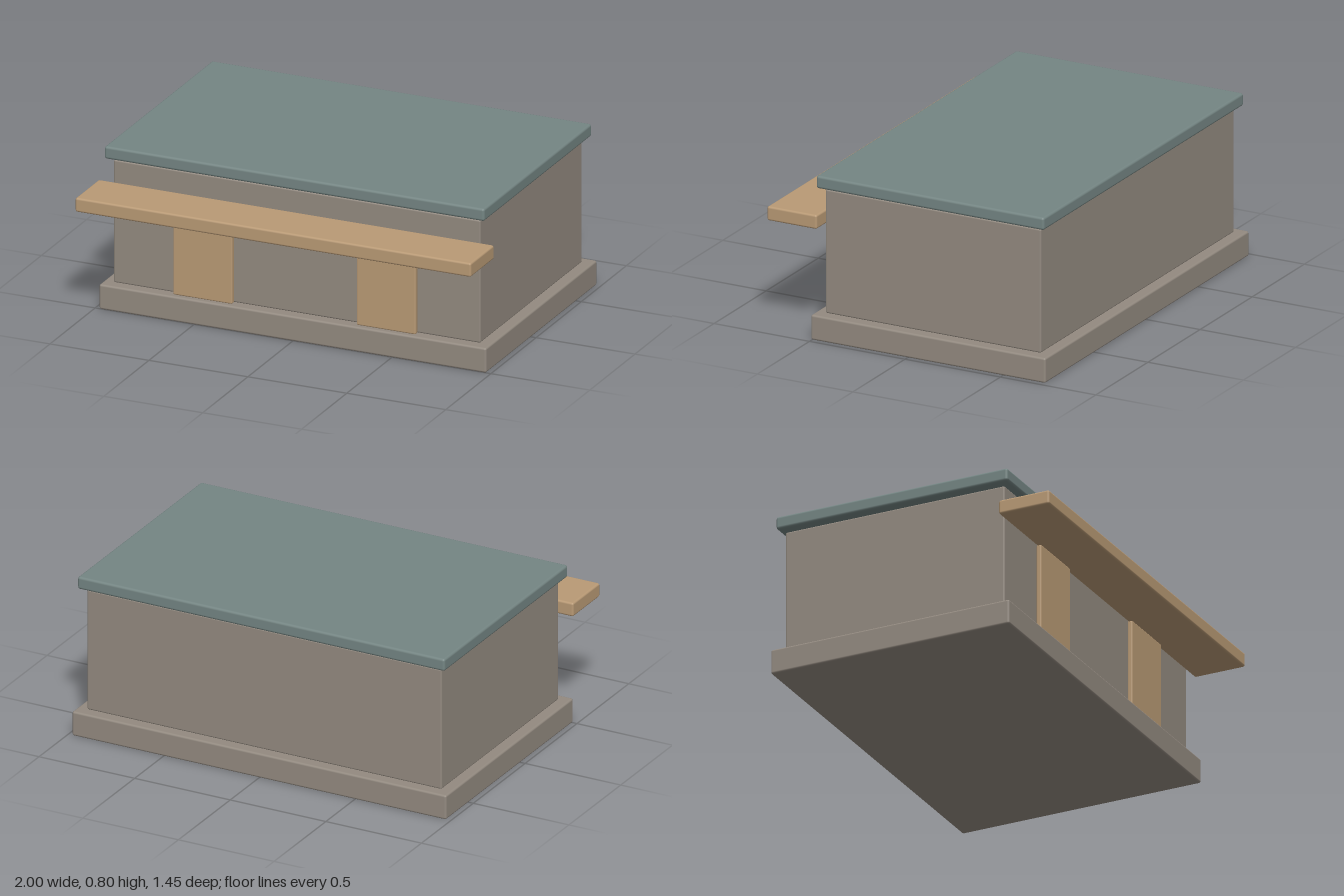
import * as THREE from 'three';
import { RoundedBoxGeometry } from 'three/addons/geometries/RoundedBoxGeometry.js';

function material(name, color) {
  const m = new THREE.MeshStandardMaterial({ color });
  m.name = name;
  return m;
}

export function createModel() {
  const group = new THREE.Group();
  group.name = 'kiosk';

  const stone = material('stone', 0x938a80);
  const wood = material('wood', 0xb99a75);
  const slate = material('slate', 0x748583);

  // Softly bevelled block given by its extents along each axis
  function block(name, mat, [x0, x1], [y0, y1], [z0, z1], bevel = 0.01) {
    const geometry = new RoundedBoxGeometry(x1 - x0, y1 - y0, z1 - z0, 2, bevel);
    const mesh = new THREE.Mesh(geometry, mat);
    mesh.name = name;
    mesh.position.set((x0 + x1) / 2, (y0 + y1) / 2, (z0 + z1) / 2);
    group.add(mesh);
  }

  // Plinth, walls and the flat roof floating just above them
  block('plinth', stone, [-0.978, 0.978], [0, 0.122], [-0.723, 0.506]);
  block('walls', stone, [-0.927, 0.927], [0.123, 0.728], [-0.672, 0.457], 0.008);
  block('roof', slate, [-0.96, 0.96], [0.738, 0.8], [-0.705, 0.488], 0.012);

  // Front awning board
  block('awning', wood, [-1, 1], [0.553, 0.622], [0.463, 0.723], 0.01);

  // Two door panels below the awning
  block('leftDoor', wood, [0.314, 0.613], [0.124, 0.556], [0.461, 0.487], 0.007);
  block('rightDoor', wood, [-0.613, -0.314], [0.124, 0.556], [0.461, 0.487], 0.007);

  return group;
}
